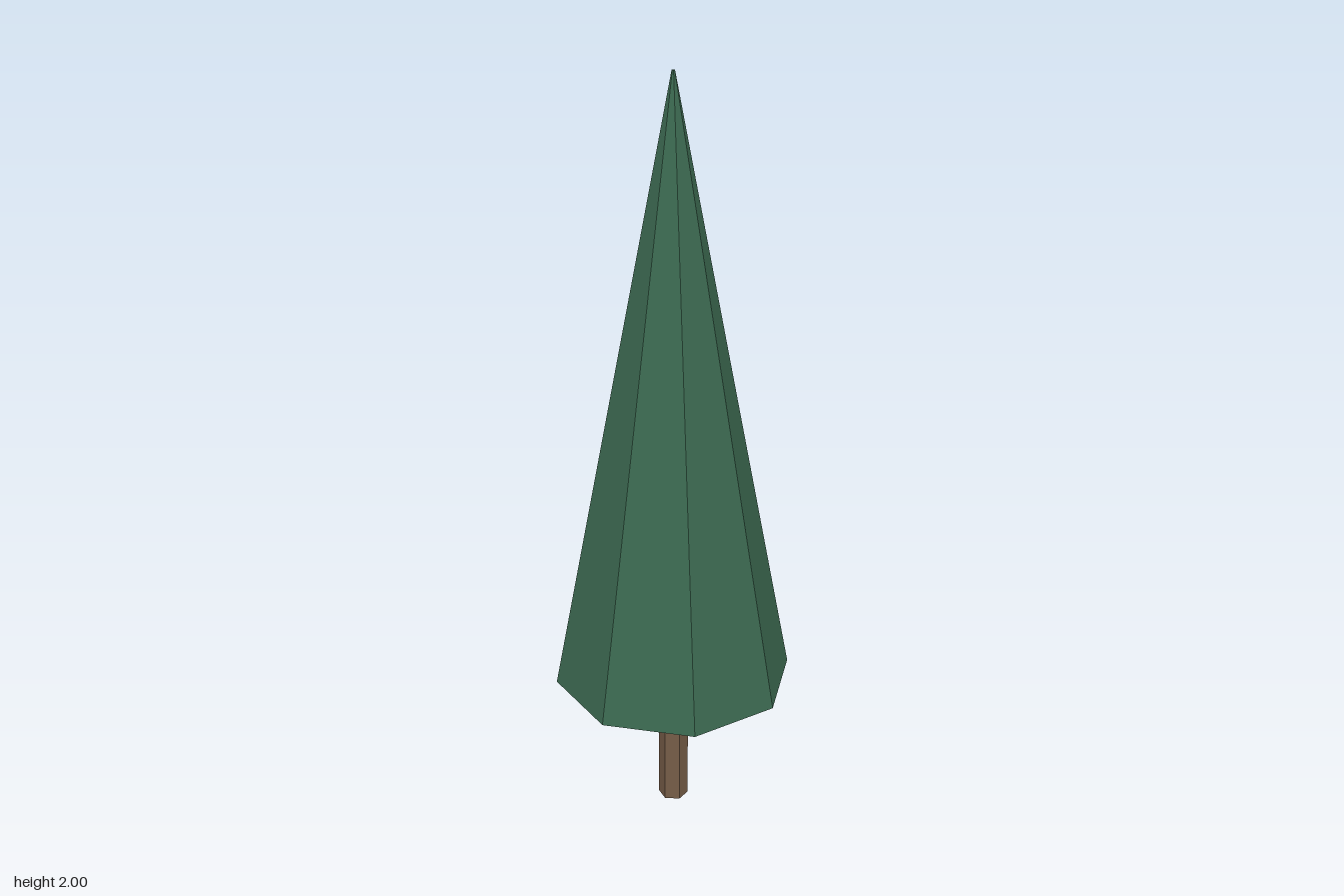
import * as THREE from 'three';

const BASE = 0.395; // underside of the foliage
const TOP = 2;

function addPart(group, name, geometry, color, y) {
  const material = new THREE.MeshStandardMaterial({ color, flatShading: true });
  const mesh = new THREE.Mesh(geometry, material);
  mesh.name = name;
  mesh.position.y = y;
  group.add(mesh);
}

export function createModel() {
  const tree = new THREE.Group();
  tree.name = 'coniferTree';

  // Six-sided trunk, ending just inside the foliage
  const trunkHeight = BASE + 0.01;
  addPart(tree, 'trunk', new THREE.CylinderGeometry(0.04, 0.04, trunkHeight, 6), 0x755c47, trunkHeight / 2);

  // Eight-sided foliage with a tiny blunt tip and a closed underside
  addPart(tree, 'foliage', new THREE.CylinderGeometry(0.004, 0.315, TOP - BASE, 8), 0x3b6850, (TOP + BASE) / 2);

  return tree;
}
